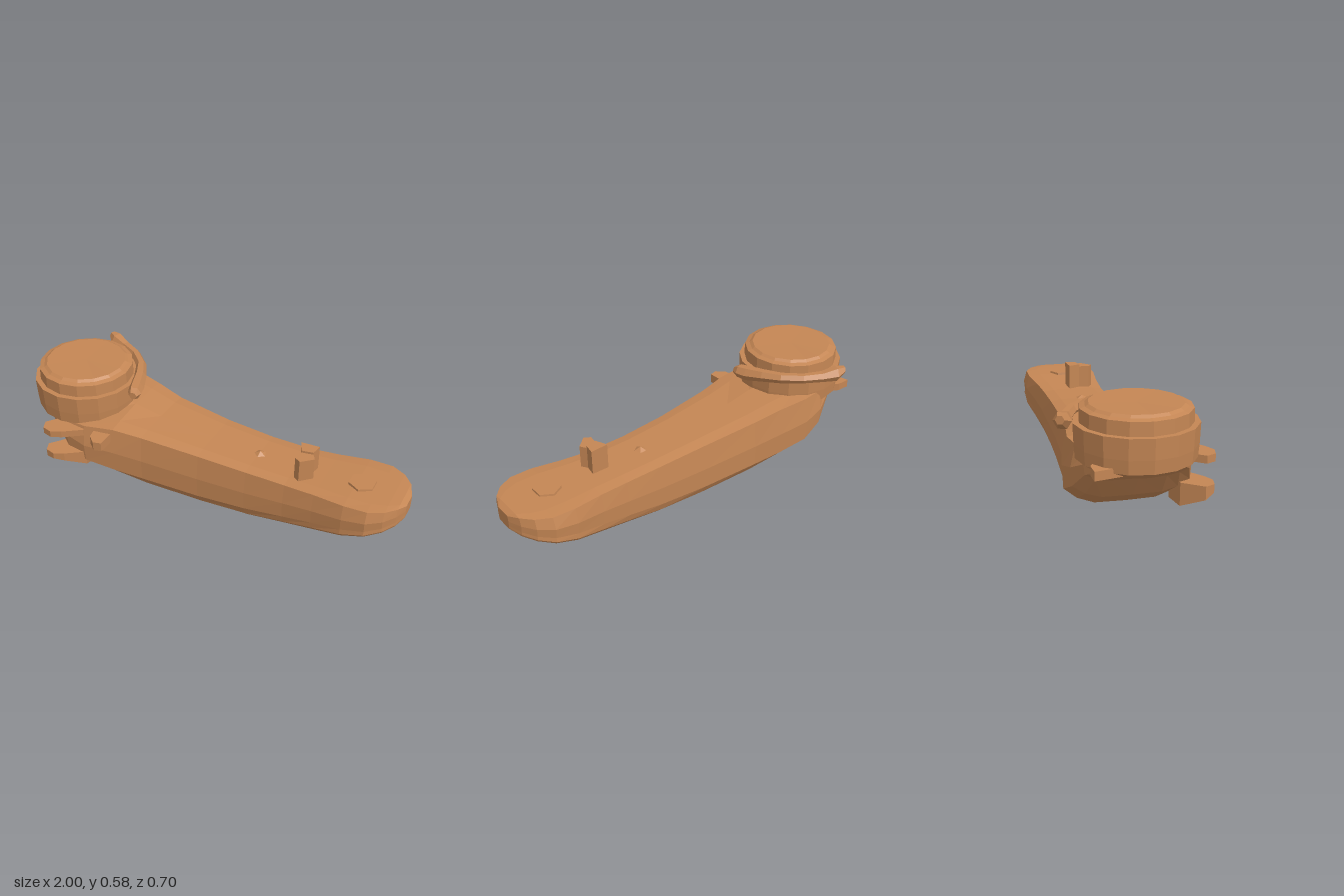
import * as THREE from 'three';

const clay = new THREE.MeshStandardMaterial({ color: 0xc48654 });
clay.name = 'clay brown';
clay.flatShading = true;

function add(group, name, geometry, x = 0, y = 0, z = 0) {
  const mesh = new THREE.Mesh(geometry, clay);
  mesh.name = name;
  mesh.position.set(x, y, z);
  group.add(mesh);
}

// Skin closed rings of equal length, capping both ends
function loft(rings) {
  const n = rings[0].length, pos = [], index = [];
  rings.forEach((r) => r.forEach((p) => pos.push(...p)));
  for (let i = 0; i < rings.length - 1; i++) {
    for (let j = 0; j < n; j++) {
      const a = i * n + j, b = i * n + (j + 1) % n;
      index.push(a, b, a + n, b, b + n, a + n);
    }
  }
  const last = (rings.length - 1) * n;
  for (let j = 1; j < n - 1; j++) {
    index.push(0, j + 1, j, last, last + j, last + j + 1);
  }
  const g = new THREE.BufferGeometry();
  g.setAttribute('position', new THREE.Float32BufferAttribute(pos, 3));
  g.setIndex(index);
  const flat = g.toNonIndexed();
  flat.computeVertexNormals();
  return flat;
}

// Outline in the xz plane raised between two heights; drop slopes the underside inward
function slab(points, y0, y1, drop = 0) {
  const shape = points.map(([x, z]) => new THREE.Vector2(x, z));
  const ccw = THREE.ShapeUtils.area(shape) > 0 ? points : [...points].reverse();
  const low = ccw.map(([x, z]) => [x, y0 - drop * Math.max(0, 0.35 - z), z]);
  const high = ccw.map(([x, z]) => [x, y1, z]);
  return loft([high, low]);
}

export function createModel() {
  const group = new THREE.Group();

  // Curved hull: x, back top, front top, bottom, half width, share of the width that is flat below
  const stations = [
    [-0.93, 0.38, 0.37, 0.335, 0.12, 0.6], [-0.88, 0.39, 0.37, 0.315, 0.18, 0.6],
    [-0.79, 0.40, 0.36, 0.26, 0.235, 0.55],
    [-0.71, 0.41, 0.355, 0.155, 0.272, 0.5], [-0.6, 0.41, 0.365, 0.085, 0.285, 0.5],
    [-0.45, 0.39, 0.375, 0.042, 0.255, 0.52], [-0.3, 0.36, 0.358, 0.018, 0.225, 0.6],
    [0, 0.332, 0.332, 0, 0.192, 0.62], [0.25, 0.318, 0.318, 0.018, 0.179, 0.72],
    [0.45, 0.315, 0.315, 0.058, 0.178, 0.8], [0.6, 0.322, 0.322, 0.1, 0.19, 0.88],
    [0.75, 0.33, 0.33, 0.147, 0.212, 0.93], [0.86, 0.332, 0.332, 0.185, 0.208, 0.94],
    [0.93, 0.332, 0.332, 0.21, 0.168, 0.94], [0.975, 0.33, 0.33, 0.228, 0.112, 0.94],
    [1, 0.315, 0.315, 0.242, 0.045, 0.94],
  ];
  add(group, 'hull', loft(stations.map(([x, back, front, bottom, w, f]) => {
    const half = [[0.62, 1], [0.92, 0.97], [1, 0.58], [0.98, 0.25], [(1.04 + f) / 2, 0.1], [f, 0.01]];
    const side = (s, top) => half.map(([u, v]) => [x, bottom + v * (top - bottom), s * u * w]);
    return [[x, back, 0], ...side(0.95, front), [x, bottom, 0], ...side(-1, back).reverse()];
  })));
  add(group, 'undersideRidge', new THREE.BoxGeometry(0.03, 0.012, 0.18), 0.38, 0.043, 0);

  // Round stepped drum at the raised end
  const profile = [
    [0, 0.31], [0.2, 0.315], [0.258, 0.35], [0.263, 0.41], [0.266, 0.5],
    [0.24, 0.5], [0.238, 0.56], [0.215, 0.567], [0.2, 0.577], [0, 0.573],
  ].map(([r, y]) => new THREE.Vector2(r, y));
  add(group, 'drum', new THREE.LatheGeometry(profile, 16), -0.735, 0, 0);
  add(group, 'backNub', slab([
    [-0.955, -0.23], [-0.89, -0.23], [-0.8, -0.18], [-0.93, -0.1],
  ], 0.33, 0.37));

  // Bent lever hugging the drum: x, y, z, radius
  const path = [
    [-0.79, 0.535, -0.33, 0.02], [-0.75, 0.52, -0.312, 0.04], [-0.68, 0.513, -0.285, 0.028],
    [-0.59, 0.514, -0.24, 0.025], [-0.51, 0.512, -0.165, 0.027], [-0.465, 0.505, -0.08, 0.032],
    [-0.435, 0.493, 0.005, 0.038], [-0.42, 0.493, 0.05, 0.034], [-0.415, 0.49, 0.075, 0.02],
  ];
  add(group, 'lever', loft(path.map(([x, y, z, r], i) => {
    const a = path[Math.max(0, i - 1)], b = path[Math.min(path.length - 1, i + 1)];
    const len = Math.hypot(b[0] - a[0], b[2] - a[2]);
    const nx = -(b[2] - a[2]) / len, nz = (b[0] - a[0]) / len;
    return Array.from({ length: 6 }, (_, j) => {
      const t = (-j / 6) * Math.PI * 2;
      return [x + nx * r * Math.cos(t), y + r * Math.sin(t), z + nz * r * Math.cos(t)];
    });
  })));

  // Jaw-like pair of tabs on the front side, and a smaller one beside them
  const jaw = [
    [-0.81, 0.29], [-0.79, 0.335], [-0.74, 0.348], [-0.69, 0.325], [-0.6, 0.26],
    [-0.62, 0.19], [-0.74, 0.2],
  ];
  add(group, 'lowerTab', slab(jaw, 0.17, 0.202, 0.5));
  add(group, 'upperTab', slab(jaw, 0.305, 0.34));
  add(group, 'smallTab', slab([
    [-0.56, 0.2], [-0.54, 0.29], [-0.5, 0.325], [-0.46, 0.315], [-0.46, 0.22], [-0.5, 0.17],
  ], 0.292, 0.34));

  // Small upright post made of two blocks
  add(group, 'post', slab([
    [0.47, 0.09], [0.5, 0.11], [0.555, 0.06], [0.53, 0.02], [0.48, 0.03],
  ], 0.3, 0.432));
  add(group, 'postBack', slab([
    [0.455, -0.02], [0.545, -0.025], [0.535, 0.03], [0.48, 0.04],
  ], 0.3, 0.443));

  // Low button and stud on the top
  add(group, 'button', new THREE.CylinderGeometry(0.065, 0.07, 0.03, 6), 0.775, 0.325, 0);
  add(group, 'stud', new THREE.ConeGeometry(0.038, 0.02, 5), 0.255, 0.324, 0);

  return group;
}
